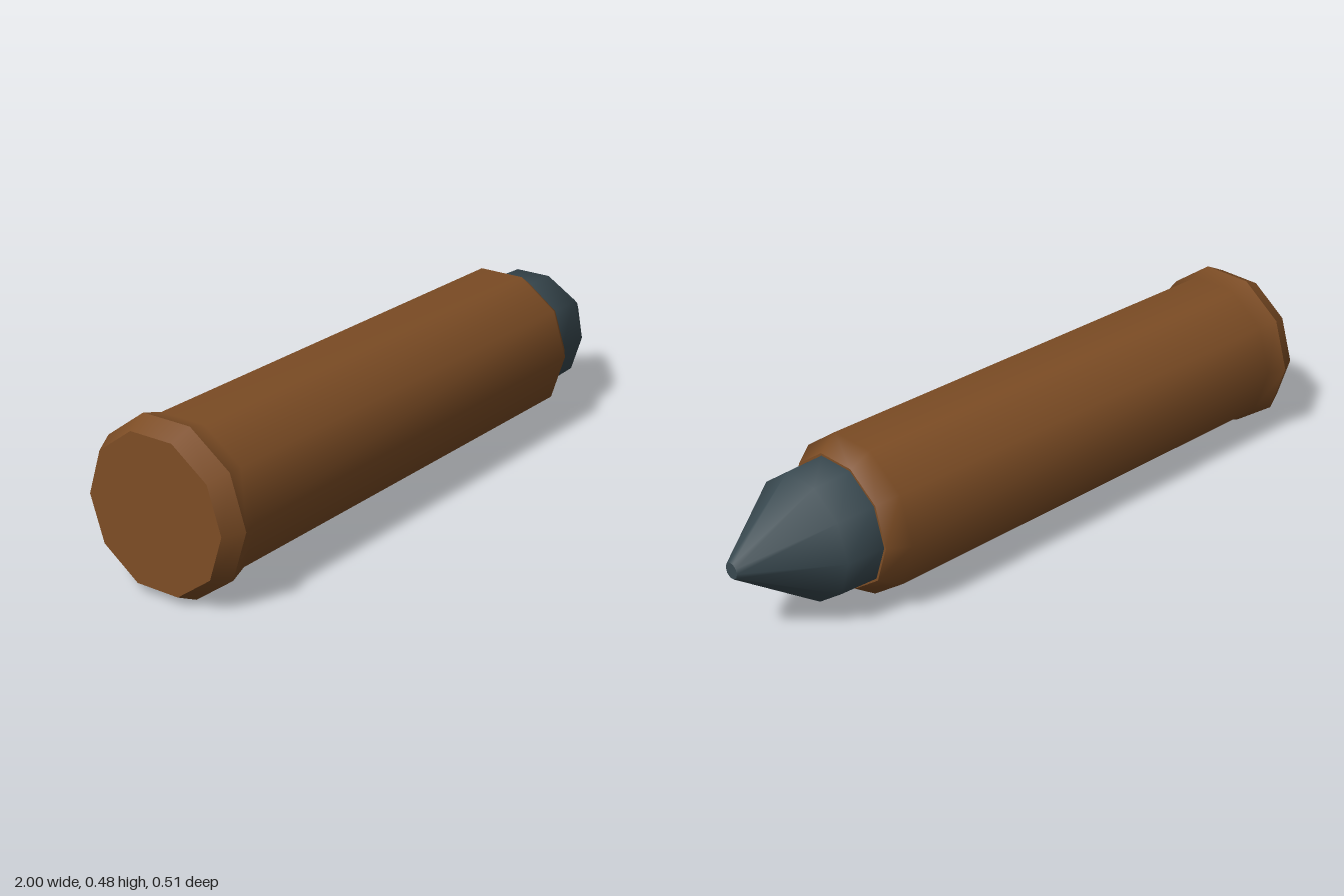
import * as THREE from 'three';

const SIDES = 10;
const AXIS_Y = 0.242;

export function createModel() {
  const brass = new THREE.MeshStandardMaterial({ color: 0x7d4d25 });
  brass.name = 'brownBrass';
  const steel = new THREE.MeshStandardMaterial({ color: 0x394950 });
  steel.name = 'darkSteel';

  const round = new THREE.Group();
  round.name = 'cartridge';

  // Turns a profile of [x, radius] pairs around the long axis; smooth within one
  // part, with a sharp edge wherever two parts meet.
  function turned(name, material, profile) {
    const points = profile.map(([x, r]) => new THREE.Vector2(r, x));
    const geometry = new THREE.LatheGeometry(points, SIDES);
    geometry.rotateZ(-Math.PI / 2);
    const mesh = new THREE.Mesh(geometry, material);
    mesh.name = name;
    mesh.position.y = AXIS_Y;
    round.add(mesh);
  }

  // Casing: flat base, flared rim, body with shoulder, and mouth
  turned('casingBase', brass, [[-1, 0], [-1, 0.224]]);
  turned('casingRim', brass, [[-1, 0.224], [-0.94, 0.254]]);
  turned('casingBody', brass, [[-0.94, 0.254], [-0.88, 0.236], [0.58, 0.236], [0.64, 0.197]]);
  turned('casingMouth', brass, [[0.64, 0.197], [0.64, 0]]);

  // Projectile: short collar tapering to a blunt nose
  turned('projectile', steel, [[0.64, 0.19], [0.76, 0.186], [1, 0.024]]);
  turned('projectileNose', steel, [[1, 0.024], [1, 0]]);

  return round;
}
